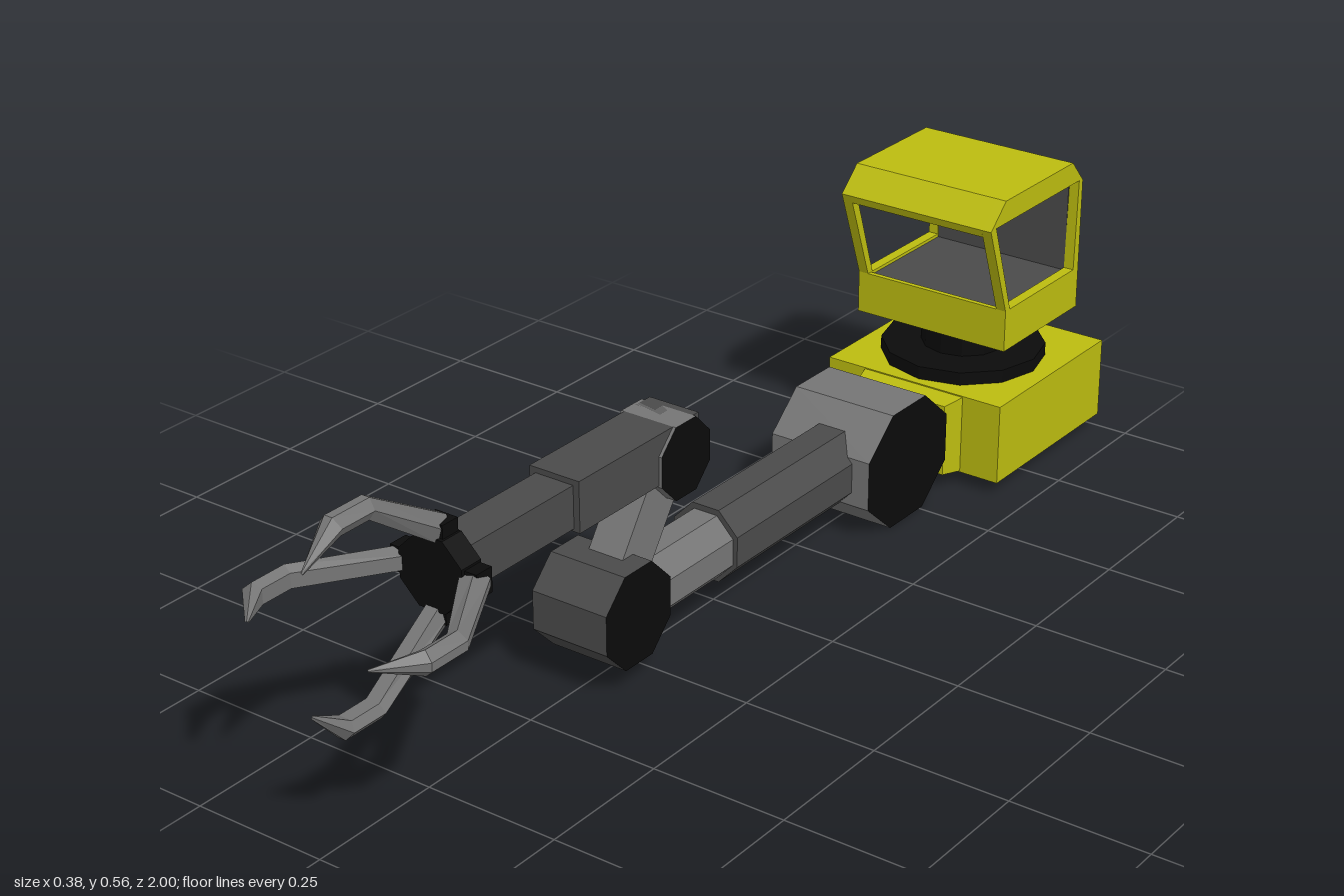
import * as THREE from 'three';

const mat = (name, color) => {
  const m = new THREE.MeshStandardMaterial({ color });
  m.name = name;
  return m;
};

export function createModel() {
  const yellow = mat('yellow paint', 0xbcbc10);
  const black = mat('black rubber', 0x0b0b0b);
  const dark = mat('dark grey steel', 0x4a4a4a);
  const grey = mat('mid grey steel', 0x757575);

  const model = new THREE.Group();
  model.name = 'roboticArm';

  // Adds a faceted mesh
  const add = (name, geo, material, x = 0, y = 0, z = 0, parent = model) => {
    const flat = geo.index ? geo.toNonIndexed() : geo;
    flat.computeVertexNormals();
    const mesh = new THREE.Mesh(flat, material);
    mesh.name = name;
    mesh.position.set(x, y, z);
    parent.add(mesh);
    return mesh;
  };
  // Box given by its y and z limits, centred on x
  const box = (name, m, w, y0, y1, z0, z1, parent) =>
    add(name, new THREE.BoxGeometry(w, y1 - y0, z1 - z0), m, 0, (y0 + y1) / 2, (z0 + z1) / 2, parent);
  // Octagonal joint lying along x, with black end caps
  const joint = (name, rim, x, y, z, ry, rz, width) => {
    const c = 1 / Math.cos(Math.PI / 8);
    const g = new THREE.CylinderGeometry(c, c, width, 8).rotateY(Math.PI / 8).rotateZ(Math.PI / 2).scale(1, ry, rz);
    add(name, g, [rim, black, black], x, y, z);
  };
  // Octagonal tube lying along z
  const tube = (name, m, x, y, rx, ry, z0, z1) => {
    const c = 1 / Math.cos(Math.PI / 8);
    const g = new THREE.CylinderGeometry(c, c, z1 - z0, 8).rotateY(Math.PI / 8).rotateX(Math.PI / 2).scale(rx, ry, 1);
    return add(name, g, m, x, y, (z0 + z1) / 2);
  };
  // Side profile of [z, y] points extruded across x
  const profile = (name, m, points, x, width, hole, parent) => {
    const toVec = ([z, y]) => new THREE.Vector2(z, y);
    const shape = new THREE.Shape(points.map(toVec));
    if (hole) shape.holes.push(new THREE.Path(hole.map(toVec)));
    const g = new THREE.ExtrudeGeometry(shape, { depth: width, bevelEnabled: false });
    g.translate(0, 0, -width / 2).rotateY(-Math.PI / 2);
    return add(name, g, m, x, 0, 0, parent);
  };

  // Base with tapered nose
  box('base', yellow, 0.376, 0.025, 0.18, -1, -0.628);
  const nose = new THREE.BoxGeometry(0.224, 0.155, 0.06);
  const np = nose.attributes.position;
  for (let i = 0; i < np.count; i++) {
    if (np.getZ(i) > 0) np.setXY(i, np.getX(i) * 0.86, np.getY(i) * 0.9);
  }
  add('baseNose', nose, yellow, 0, 0.1025, -0.615);

  // Turntable and neck
  add('turntable', new THREE.CylinderGeometry(0.155, 0.155, 0.026, 12), black, 0, 0.192, -0.8);
  add('cabinNeck', new THREE.CylinderGeometry(0.08, 0.08, 0.064, 12), black, 0, 0.235, -0.8);

  // Cabin: shell between two side frames
  const cabin = new THREE.Group();
  cabin.name = 'cabin';
  model.add(cabin);
  profile('cabinShell', yellow, [
    [-0.68, 0.265], [-0.94, 0.265], [-0.94, 0.52], [-0.9, 0.565], [-0.665, 0.565], [-0.617, 0.52],
    [-0.622, 0.505], [-0.632, 0.505], [-0.632, 0.52], [-0.67, 0.553], [-0.896, 0.553],
    [-0.928, 0.515], [-0.928, 0.335], [-0.69, 0.335], [-0.69, 0.345], [-0.68, 0.345],
  ], 0, 0.28, null, cabin);
  for (const side of [-1, 1]) {
    profile('cabinSideFrame', yellow, [
      [-0.68, 0.265], [-0.94, 0.265], [-0.94, 0.52], [-0.9, 0.565],
      [-0.665, 0.565], [-0.617, 0.52], [-0.68, 0.345],
    ], side * 0.15, 0.02, [[-0.695, 0.345], [-0.635, 0.522], [-0.927, 0.522], [-0.922, 0.345]], cabin);
  }
  // Grey lining on floor, rear wall and ceiling
  profile('cabinLining', dark, [
    [-0.69, 0.335], [-0.928, 0.335], [-0.928, 0.515], [-0.896, 0.553], [-0.67, 0.553], [-0.632, 0.52],
    [-0.636, 0.518], [-0.671, 0.549], [-0.894, 0.549], [-0.924, 0.513], [-0.924, 0.339], [-0.69, 0.339],
  ], 0, 0.28, null, cabin);

  // Shoulder, telescopic upper arm and elbow
  joint('shoulder', grey, -0.004, 0.1125, -0.457, 0.1125, 0.128, 0.21);
  tube('upperArmSleeve', dark, -0.002, 0.12, 0.067, 0.069, -0.45, 0.02);
  tube('upperArmRod', grey, -0.002, 0.118, 0.058, 0.06, 0, 0.28);
  joint('elbow', dark, -0.003, 0.129, 0.306, 0.087, 0.086, 0.153);

  // Link from elbow to wrist
  const link = add('elbowLink', new THREE.BoxGeometry(0.07, 0.27, 0.085), grey, 0, 0.24, 0.23);
  link.rotation.x = -Math.atan2(0.15, 0.22);
  joint('wrist', grey, 0, 0.349, 0.152, 0.067, 0.066, 0.112);

  // Telescopic forearm
  box('forearmSleeve', dark, 0.1, 0.324, 0.416, 0.11, 0.425);
  box('forearmRod', dark, 0.076, 0.329, 0.406, 0.4, 0.7);

  // Gripper hub with four claws
  const gripper = new THREE.Group();
  gripper.name = 'gripper';
  gripper.position.y = 0.367;
  model.add(gripper);
  const hub = new THREE.CylinderGeometry(0.068, 0.068, 0.045, 8).rotateY(Math.PI / 8).rotateX(Math.PI / 2);
  add('gripperHub', hub, black, 0, 0, 0.702, gripper);

  // Claw cross-sections: outer z and radius, inner z and radius, half width
  const sections = [
    [0.69, 0.09, 0.712, 0.048, 0.02], [0.857, 0.187, 0.866, 0.155, 0.022],
    [0.937, 0.187, 0.927, 0.155, 0.022], [1, 0.121, 0.997, 0.117, 0.002],
  ].map(([zo, ro, zi, ri, w]) => {
    const at = (t, k) => [k * w, ro + (ri - ro) * t, zo + (zi - zo) * t];
    return [at(0, 0.35), at(0, -0.35), at(0.5, -1), at(1, -0.6), at(1, 0.6), at(0.5, 1)];
  });
  const verts = [];
  for (let s = 0; s < sections.length - 1; s++) {
    for (let k = 0; k < 6; k++) {
      const n = (k + 1) % 6;
      const [a, b, c, d] = [sections[s][k], sections[s][n], sections[s + 1][n], sections[s + 1][k]];
      verts.push(...a, ...b, ...c, ...a, ...c, ...d);
    }
  }
  const clawGeo = new THREE.BufferGeometry();
  clawGeo.setAttribute('position', new THREE.Float32BufferAttribute(verts, 3));
  for (let i = 0; i < 4; i++) {
    const arm = new THREE.Group();
    arm.name = 'clawArm';
    arm.rotation.z = (i * Math.PI) / 2;
    gripper.add(arm);
    add('claw', clawGeo, grey, 0, 0, 0, arm);
    add('clawMount', new THREE.BoxGeometry(0.044, 0.05, 0.036), black, 0, 0.061, 0.7, arm);
  }
  return model;
}
